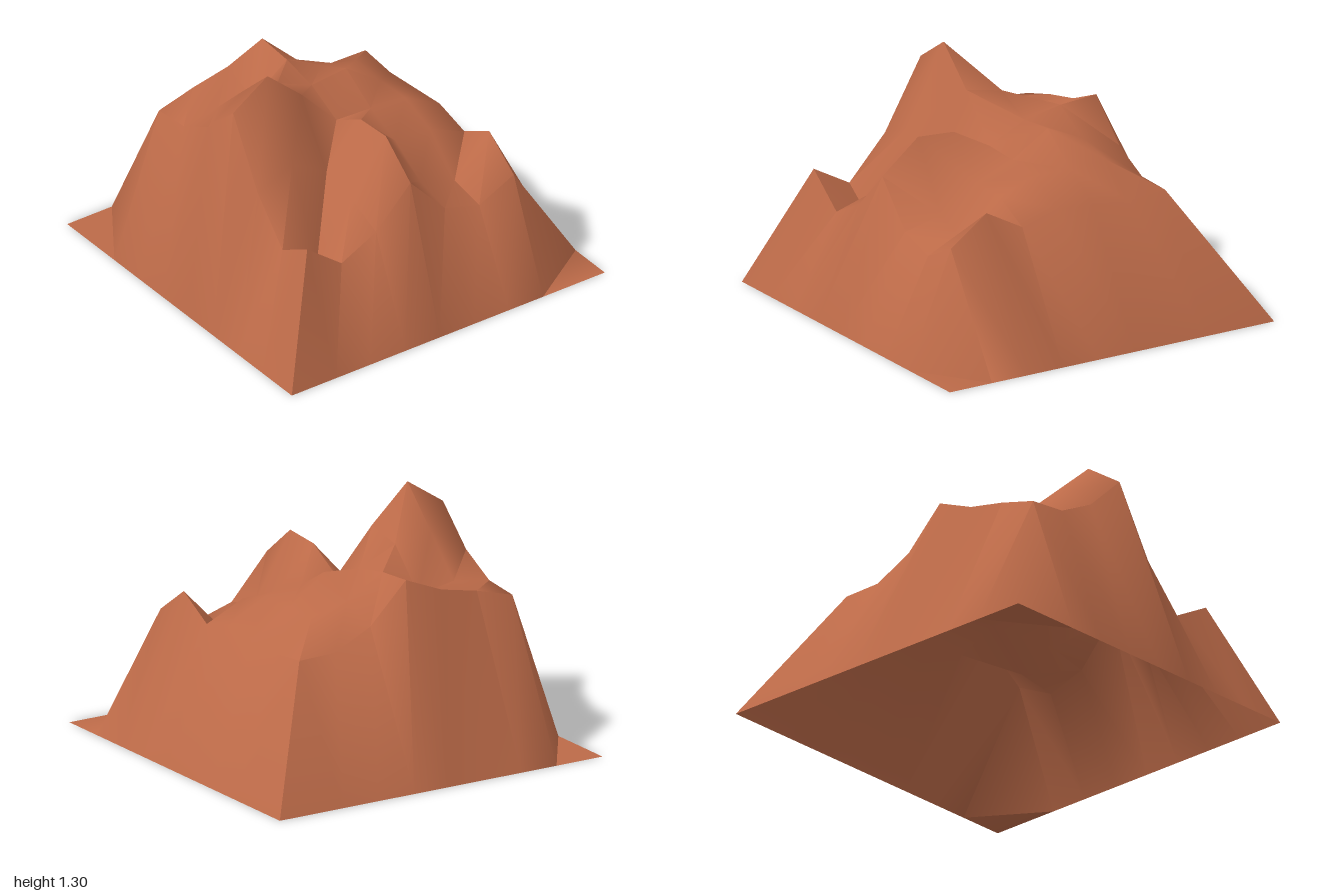
import * as THREE from 'three';
import { toCreasedNormals } from 'three/addons/utils/BufferGeometryUtils.js';

// Heights of the inner grid: rows run from back to front, columns from -x to +x
const HEIGHTS = [
  [0.82, 0.88, 0.925, 1.015, 0.80, 0.695, 0.69],
  [0.84, 0.875, 0.84, 1.00, 0.88, 0.83, 0.67],
  [0.95, 1.09, 1.055, 0.96, 0.98, 0.82, 0.69],
  [1.155, 1.30, 1.10, 0.86, 0.85, 0.83, 0.71],
  [0.775, 0.87, 0.74, 0.98, 0.765, 0.755, 0.655],
  [0.54, 0.38, 0.69, 0.995, 0.63, 0.55, 0.775],
  [0.66, 0.49, 0.60, 0.82, 0.58, 0.515, 0.62],
];
const STEP = 0.22;
const CELLS = 8;

// Even spacing inside, wider cells at the rim
function gridLine(i, first) {
  if (i === 0) return -1;
  if (i === CELLS) return 1;
  return first + (i - 1) * STEP;
}

export function createModel() {
  const group = new THREE.Group();
  group.name = 'mountain';

  const rock = new THREE.MeshStandardMaterial({ color: 0xbc6a48, side: THREE.DoubleSide });
  rock.name = 'red rock';

  // Open hill surface: a plane grid raised by the height table, rim on the ground
  const plane = new THREE.PlaneGeometry(2, 2, CELLS, CELLS);
  const pos = plane.attributes.position;
  for (let row = 0; row <= CELLS; row++) {
    for (let col = 0; col <= CELLS; col++) {
      const y = HEIGHTS[row - 1]?.[col - 1] ?? 0;
      pos.setXYZ(row * (CELLS + 1) + col, gridLine(col, -0.715), y, gridLine(row, -0.58));
    }
  }

  // Smooth slopes, sharp only at the steepest ridges and hollows
  const terrain = new THREE.Mesh(toCreasedNormals(plane, Math.PI / 3), rock);
  terrain.name = 'terrain';
  group.add(terrain);
  return group;
}
